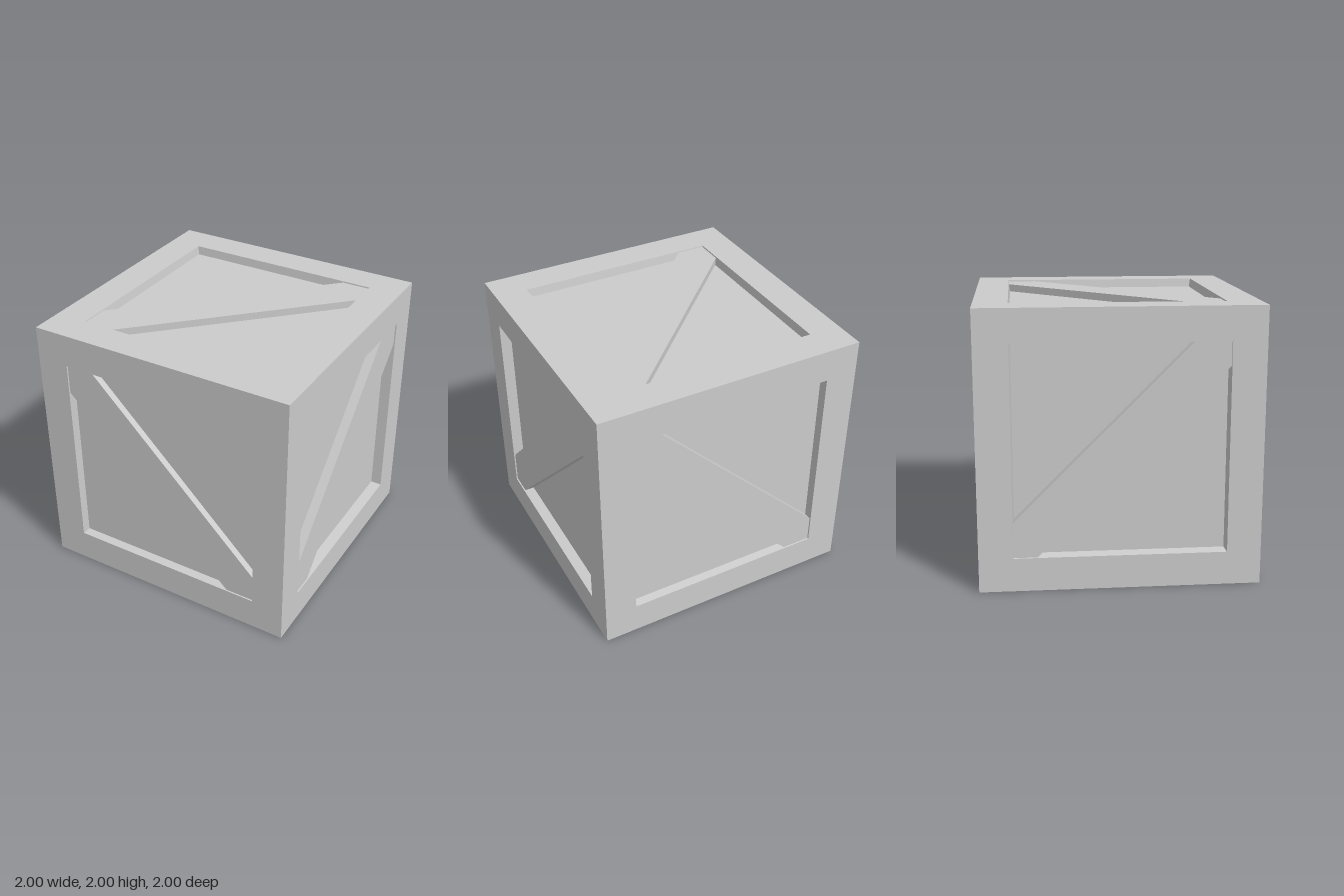
import * as THREE from 'three';

const OPENING = 0.757; // half size of the recess at the surface
const FLOOR = 0.747;   // half size at the recessed panel
const BRACE_GAP = 0.01; // brace sits slightly below the frame

const material = new THREE.MeshStandardMaterial({ color: 0xcccccc, flatShading: true });

function mesh(name, geometry) {
  const m = new THREE.Mesh(geometry, material);
  m.name = name;
  return m;
}

// Square frame with sloped recess walls and a sunken panel, facing +z
function framedPanel(depth) {
  const profile = [[1, 1], [OPENING, 1], [FLOOR, 1 - depth], [0, 1 - depth]]
    .map(([half, height]) => new THREE.Vector2(half * Math.SQRT2, height));
  const g = new THREE.LatheGeometry(profile, 4, Math.PI / 4).toNonIndexed();
  g.rotateX(Math.PI / 2);
  g.computeVertexNormals();
  return mesh('framedPanel', g);
}

// Diagonal plank from lower left to upper right; flip = -1 mirrors it
function diagonalBrace(depth, cutUpper, cutLower, flip) {
  const s = OPENING;
  const outline = [
    [-s, -s], [-s + cutLower, -s], [s, s - cutLower],
    [s, s], [s - cutUpper, s], [-s, -s + cutUpper],
  ].map(([x, y]) => new THREE.Vector2(x * flip, y));
  const g = new THREE.ExtrudeGeometry(new THREE.Shape(outline), {
    depth: depth - BRACE_GAP, bevelEnabled: false,
  });
  g.translate(0, 0, 1 - depth);
  return mesh('diagonalBrace', g);
}

function crateSide(name, { depth, cutUpper, cutLower, flip }, rx, ry) {
  const side = new THREE.Group();
  side.name = name;
  side.add(framedPanel(depth), diagonalBrace(depth, cutUpper, cutLower, flip));
  side.rotation.set(rx, ry, 0);
  side.position.y = 1;
  return side;
}

export function createModel() {
  const crate = new THREE.Group();
  crate.name = 'crate';
  const q = Math.PI / 2;
  const frontStyle = { depth: 0.06, cutUpper: 0.21, cutLower: 0.22, flip: -1 };
  const endStyle = { depth: 0.08, cutUpper: 0.257, cutLower: 0.17, flip: 1 };
  const lidStyle = { depth: 0.065, cutUpper: 0.215, cutLower: 0.215, flip: 1 };

  // Opposite sides share a style; each is turned outward
  // The front brace is mirrored, so its cuts swap across the diagonal
  crate.add(
    crateSide('frontSide', { ...frontStyle, cutUpper: 0.21, cutLower: 0.22 }, 0, 0),
    crateSide('backSide', frontStyle, 0, 2 * q),
    crateSide('leftSide', endStyle, 0, q),
    crateSide('rightSide', endStyle, 0, -q),
    crateSide('lid', lidStyle, -q, 0),
    crateSide('base', lidStyle, q, 0),
  );
  return crate;
}
